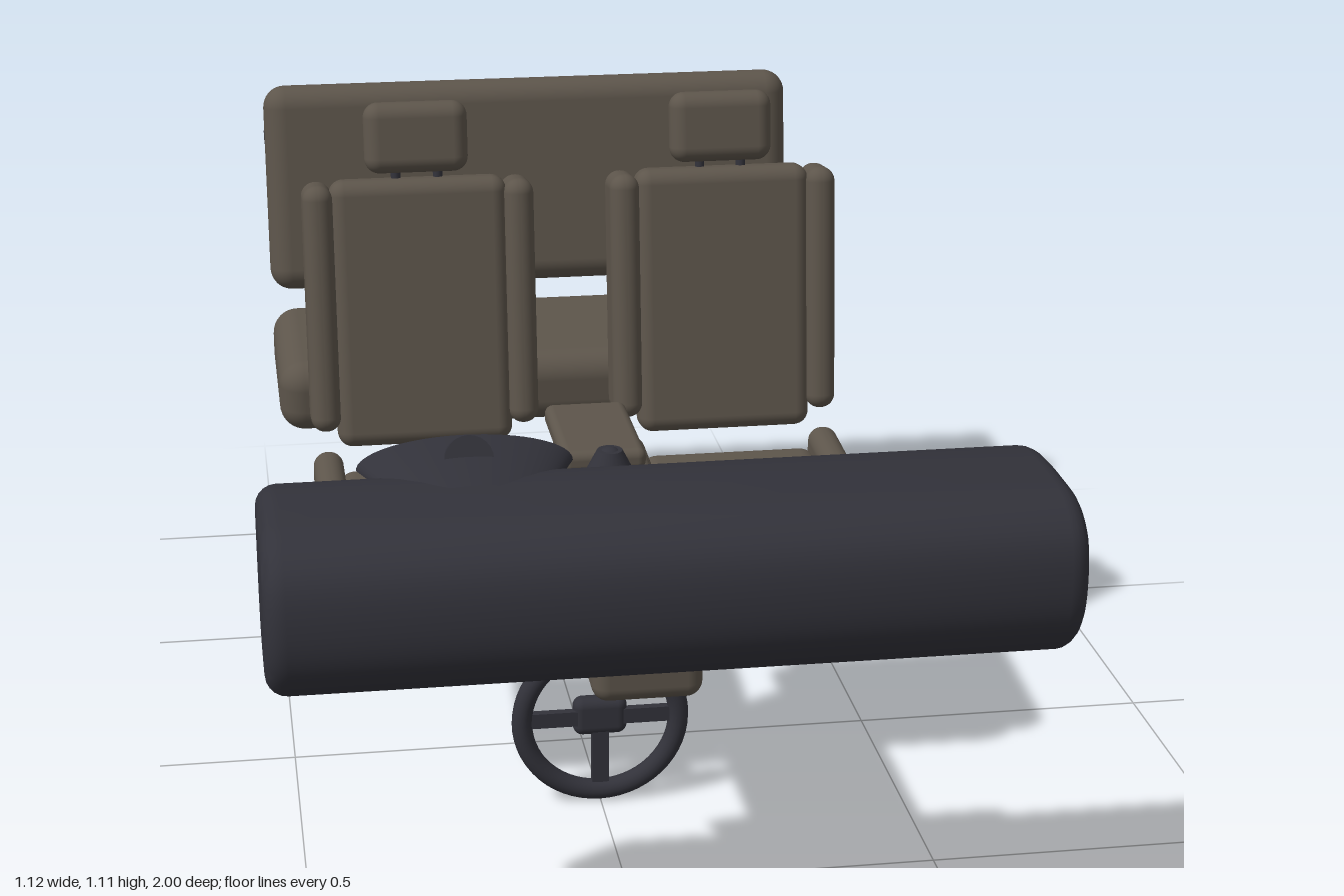
import * as THREE from 'three';
import { RoundedBoxGeometry } from 'three/addons/geometries/RoundedBoxGeometry.js';
import { toCreasedNormals } from 'three/addons/utils/BufferGeometryUtils.js';

export function createModel() {
  const root = new THREE.Group();
  root.name = 'carInterior';

  const upholstery = new THREE.MeshStandardMaterial({ name: 'taupe upholstery', color: 0x5d554b });
  const plastic = new THREE.MeshStandardMaterial({ name: 'charcoal plastic', color: 0x32323a });
  const shell = new THREE.MeshStandardMaterial({ name: 'charcoal shell', color: 0x32323a, side: THREE.DoubleSide });

  const add = (parent, name, geometry, material, [x, y, z], tilt = 0) => {
    const mesh = new THREE.Mesh(geometry, material);
    mesh.name = name;
    mesh.position.set(x, y, z);
    mesh.rotation.x = tilt;
    parent.add(mesh);
    return mesh;
  };
  // Padded block: size, corner radius, centre, tilt about x
  const pad = (parent, name, [w, h, d], r, pos, tilt = 0, material = upholstery) =>
    add(parent, name, new RoundedBoxGeometry(w, h, d, 5, r), material, pos, tilt);
  const group = (name) => {
    const g = new THREE.Group();
    g.name = name;
    root.add(g);
    return g;
  };

  // Dashboard: rounded side profile swept across the car
  const profile = [
    [1.0, 0.69], [0.985, 0.765], [0.935, 0.804], [0.86, 0.811], [0.74, 0.804], [0.69, 0.78],
    [0.68, 0.70], [0.694, 0.61], [0.74, 0.568], [0.86, 0.56], [0.945, 0.582], [0.988, 0.63],
  ].map(([z, y]) => new THREE.Vector3(-z, y, 0));
  const outline = new THREE.CatmullRomCurve3(profile, true).getPoints(48).slice(0, -1);
  const bevel = 0.03;
  const dashGeometry = new THREE.ExtrudeGeometry(
    new THREE.Shape(outline.map((p) => new THREE.Vector2(p.x, p.y))),
    { depth: 1.12 - 2 * bevel, bevelEnabled: true, bevelSize: bevel, bevelThickness: bevel, bevelOffset: -bevel, bevelSegments: 5 });
  dashGeometry.translate(0, 0, -0.56 + bevel).rotateY(Math.PI / 2);
  const dash = group('dashboard');
  add(dash, 'dashboardBody', toCreasedNormals(dashGeometry, 0.7), plastic, [0, 0, 0]);

  // Instrument hood: flattened, tapering half shell
  const hood = new THREE.CylinderGeometry(0.155, 0.095, 0.15, 32, 1, true, -Math.PI / 2, Math.PI);
  hood.rotateX(-Math.PI / 2).scale(1, 0.3, 1);
  add(dash, 'instrumentHood', hood, shell, [-0.26, 0.784, 0.725]);
  add(dash, 'steeringColumn', new THREE.CylinderGeometry(0.035, 0.035, 0.17, 24), plastic, [-0.26, 0.785, 0.64], 1.165);
  pad(dash, 'centreStack', [0.21, 0.22, 0.045], 0.012, [0, 0.655, 0.697], -0.17);

  // Centre console
  const console_ = group('centreConsole');
  pad(console_, 'consoleBody', [0.165, 0.195, 0.595], 0.025, [0, 0.513, 0.408]);
  pad(console_, 'armrest', [0.135, 0.036, 0.235], 0.014, [0, 0.621, 0.143]);
  add(console_, 'gearBoot', new THREE.CylinderGeometry(0.02, 0.048, 0.055, 24), plastic, [0, 0.635, 0.31]);
  add(console_, 'gearKnob', new THREE.SphereGeometry(0.022, 20, 12), plastic, [0, 0.645, 0.31]);

  // Front seats
  const lean = -0.14;
  for (const side of [-1, 1]) {
    const seat = group(side < 0 ? 'rightSeat' : 'leftSeat');
    seat.position.x = side * 0.256;
    pad(seat, 'seatCushion', [0.315, 0.085, 0.34], 0.035, [0, 0.462, 0.11], 0.06);
    pad(seat, 'seatBack', [0.295, 0.45, 0.065], 0.025, [0, 0.762, -0.117], lean);
    for (const edge of [-1, 1]) {
      const x = edge * 0.167;
      pad(seat, 'cushionBolster', [0.05, 0.075, 0.33], 0.024, [x, 0.498, 0.098], 0.06);
      pad(seat, 'backBolster', [0.05, 0.415, 0.095], 0.024, [x, 0.773, -0.125], lean);
      add(seat, 'headrestPost', new THREE.CylinderGeometry(0.008, 0.008, 0.06, 12), plastic, [edge * 0.035, 0.985, -0.151], lean);
    }
    pad(seat, 'headrest', [0.172, 0.117, 0.054], 0.025, [0, 1.051, -0.16], lean);
  }

  // Rear bench
  const bench = group('rearBench');
  pad(bench, 'benchCushion', [0.98, 0.13, 0.34], 0.045, [0, 0.518, -0.55], 0.05);
  pad(bench, 'benchBack', [0.98, 0.38, 0.085], 0.04, [0, 0.81, -0.73], lean);
  add(bench, 'parcelShelf', new THREE.BoxGeometry(0.97, 0.016, 0.21), plastic, [0, 0.843, -0.895]);

  // Steering wheel
  const wheel = group('steeringWheel');
  wheel.position.set(0, 0.148, 0.216);
  add(wheel, 'wheelRim', new THREE.TorusGeometry(0.131, 0.017, 16, 56), plastic, [0, 0, 0]);
  add(wheel, 'wheelHub', new RoundedBoxGeometry(0.09, 0.066, 0.036, 4, 0.016), plastic, [0, 0.004, -0.008]);
  add(wheel, 'crossSpoke', new THREE.BoxGeometry(0.25, 0.026, 0.014), plastic, [0, 0.004, 0]);
  add(wheel, 'lowerSpoke', new THREE.BoxGeometry(0.028, 0.125, 0.014), plastic, [0, -0.063, 0]);

  return root;
}
